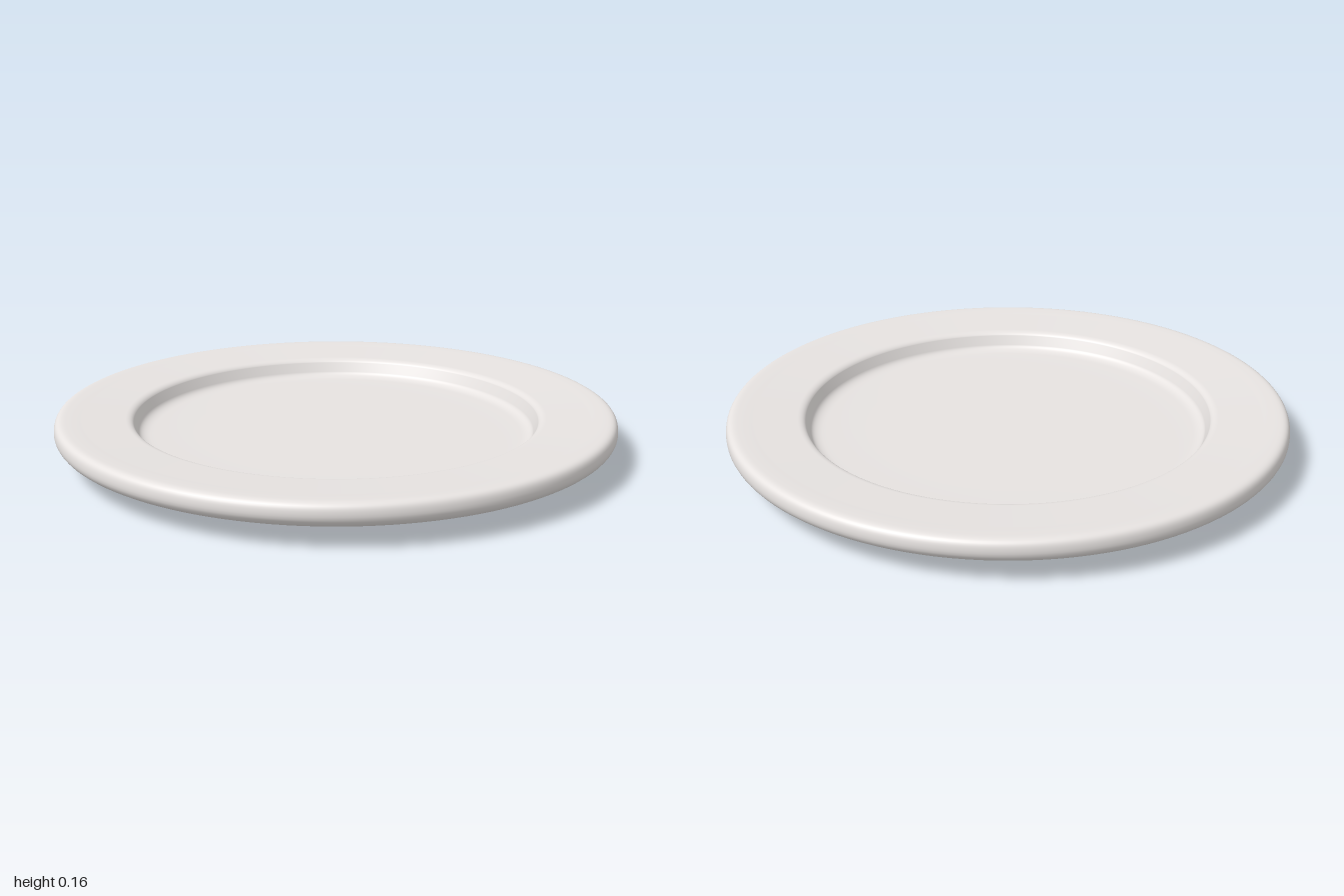
import * as THREE from 'three';

export function createModel() {
  const group = new THREE.Group();
  group.name = 'plate';
  const ceramic = new THREE.MeshStandardMaterial({ color: 0xe6e2e0 });
  ceramic.name = 'warm white ceramic';

  // Closed half profile, from the underside centre around the rim to the well centre
  const profile = new THREE.Path();
  profile.moveTo(0, 0);
  profile.lineTo(0.645, 0);
  profile.quadraticCurveTo(0.665, 0, 0.675, 0.014); // foot edge
  profile.bezierCurveTo(0.69, 0.04, 0.715, 0.05, 0.77, 0.052); // cove under the rim
  profile.lineTo(0.87, 0.054);
  profile.bezierCurveTo(0.95, 0.057, 1, 0.082, 1, 0.115); // rounded rim
  profile.bezierCurveTo(1, 0.145, 0.99, 0.157, 0.965, 0.157);
  profile.quadraticCurveTo(0.94, 0.157, 0.9, 0.154); // rim slopes gently inward
  profile.lineTo(0.75, 0.146);
  profile.quadraticCurveTo(0.729, 0.145, 0.721, 0.132); // lip of the well
  profile.lineTo(0.706, 0.098);
  profile.quadraticCurveTo(0.698, 0.08, 0.665, 0.078);
  profile.quadraticCurveTo(0.62, 0.076, 0.5, 0.075);
  profile.lineTo(0, 0.075);

  const body = new THREE.Mesh(new THREE.LatheGeometry(profile.getPoints(10), 128), ceramic);
  body.name = 'plateBody';
  group.add(body);
  return group;
}
